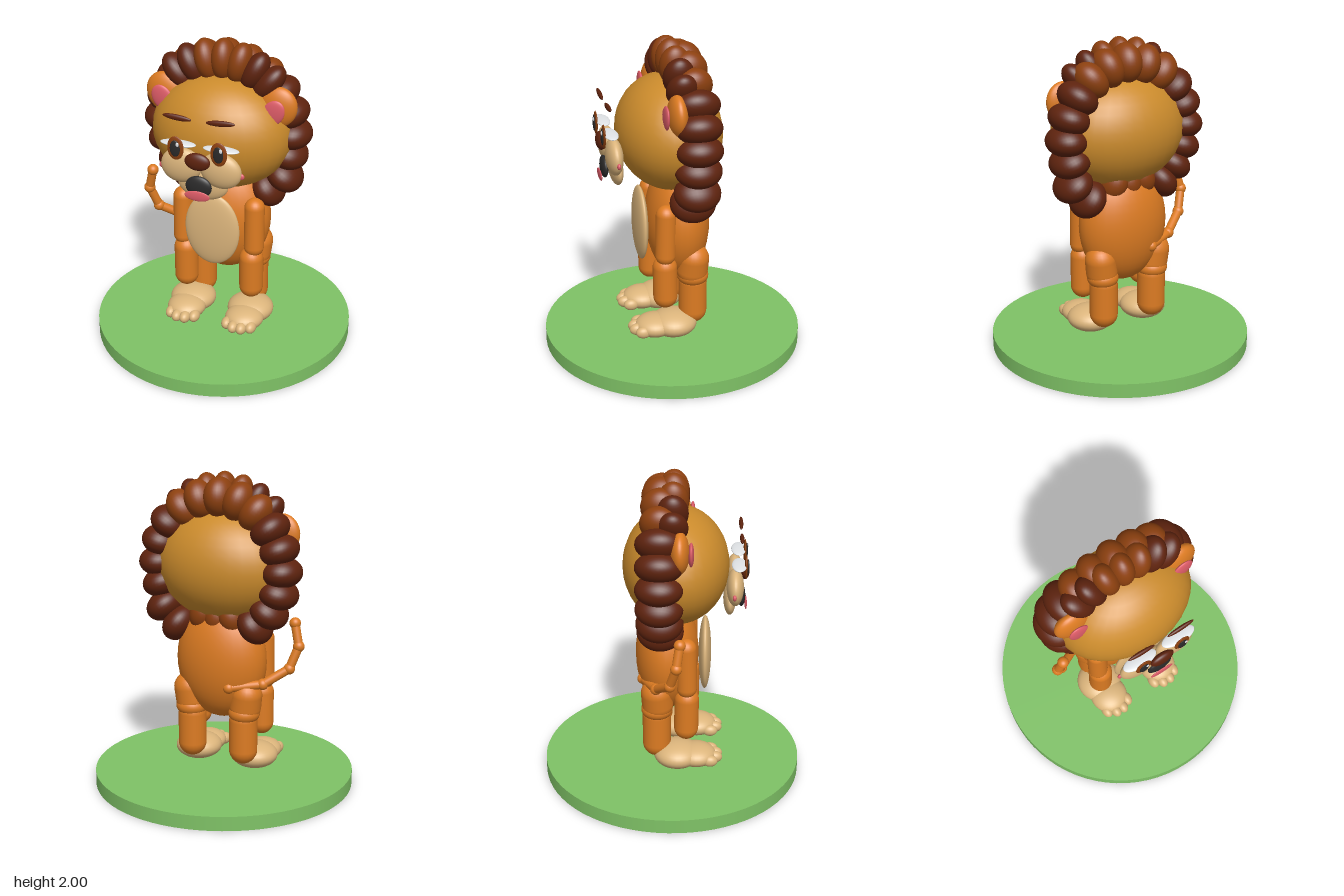
import * as THREE from 'three';

const paint = (name, color) => {
  const m = new THREE.MeshStandardMaterial({ color });
  m.name = name;
  return m;
};

export function createModel() {
  const fur = paint('orange fur', 0xdc7b22);
  const face = paint('golden fur', 0xcb8b2c);
  const tan = paint('tan', 0xdcb57c);
  const darkMane = paint('dark brown', 0x5e230e);
  const lightMane = paint('chestnut', 0x8c400f);
  const pink = paint('pink', 0xde5c68);
  const black = paint('black', 0x2b2a2a);
  const white = paint('white', 0xe8ebee);
  const green = paint('grass green', 0x7fc266);

  const model = new THREE.Group();
  model.name = 'lion';
  const sphere = new THREE.SphereGeometry(1, 32, 20);

  const add = (name, geometry, material, parent = model) => {
    const mesh = new THREE.Mesh(geometry, material);
    mesh.name = name;
    parent.add(mesh);
    return mesh;
  };
  // Ellipsoid from centre, radii and roll about z
  const ball = (name, material, pos, radii, roll = 0, parent = model) => {
    const mesh = add(name, sphere, material, parent);
    mesh.position.set(...pos);
    mesh.scale.set(...radii);
    mesh.rotation.z = roll;
    return mesh;
  };
  // Round-ended limb between two joint centres
  const limb = (name, material, from, to, r, parent = model) => {
    const a = new THREE.Vector3(...from), b = new THREE.Vector3(...to);
    const mesh = add(name, new THREE.CapsuleGeometry(r, a.distanceTo(b), 8, 24), material, parent);
    mesh.position.copy(a).lerp(b, 0.5);
    mesh.quaternion.setFromUnitVectors(new THREE.Vector3(0, 1, 0), b.sub(a).normalize());
    return mesh;
  };

  // Stand
  add('stand', new THREE.CylinderGeometry(0.83, 0.83, 0.09, 72), green).position.y = 0.045;

  // Torso and head
  ball('body', fur, [0, 0.82, -0.03], [0.3, 0.38, 0.2]);
  ball('belly', tan, [0, 0.815, 0.21], [0.18, 0.245, 0.04]);
  ball('head', face, [0, 1.418, 0.025], [0.445, 0.358, 0.33]);

  // Mane: ring of overlapping locks, shorter where it crosses the back
  const mane = new THREE.Group();
  mane.name = 'mane';
  model.add(mane);
  const locks = 20;
  for (let i = 0; i < locks; i++) {
    const a = (i / locks) * Math.PI * 2;
    const s = Math.sin(a), c = Math.cos(a);
    const atBottom = c < -0.9, atTop = c > 0.8;
    const long = c < -0.5 && !atBottom ? (s > 0 ? 0.05 : 0) : 0;
    const reach = (atBottom ? 0.32 : 0.43) + long;
    ball('maneLock', atBottom || atTop ? lightMane : darkMane,
      [s * (reach - 0.01), 1.42 + c * reach, -0.065],
      [0.095, 0.125, atBottom || atTop ? 0.12 : 0.145], -a, mane);
  }
  // Tufts leaning over the forehead
  for (let i = -3; i <= 3; i++) {
    const a = i * 0.24;
    ball('foreheadTuft', Math.abs(i) < 2 ? lightMane : darkMane,
      [Math.sin(a) * 0.44, 1.42 + Math.cos(a) * 0.45, 0.01],
      [0.075, 0.13, 0.095], -a, mane);
  }

  // Nose, jaw and mouth
  ball('jaw', tan, [0, 1.2, 0.36], [0.16, 0.1, 0.04]);
  ball('nose', darkMane, [0, 1.385, 0.45], [0.08, 0.055, 0.03]);
  ball('mouth', black, [0, 1.215, 0.432], [0.083, 0.068, 0.025]);
  ball('tongue', pink, [0, 1.165, 0.46], [0.08, 0.033, 0.008]);

  for (const s of [-1, 1]) {
    // Ears
    ball('ear', fur, [s * 0.36, 1.628, 0.055], [0.122, 0.132, 0.058], -s * 0.4);
    ball('innerEar', pink, [s * 0.355, 1.615, 0.122], [0.066, 0.084, 0.018], -s * 0.5);

    // Muzzle and cheeks
    ball('muzzle', tan, [s * 0.125, 1.32, 0.39], [0.13, 0.112, 0.053], -s * 0.15);
    ball('cheek', pink, [s * 0.25, 1.3, 0.385], [0.02, 0.02, 0.012]);

    // Eyes and brows
    ball('eyeWhite', white, [s * 0.135, 1.468, 0.412], [0.112, 0.013, 0.046]);
    ball('iris', lightMane, [s * 0.135, 1.455, 0.453], [0.052, 0.075, 0.01]);
    ball('pupil', black, [s * 0.135, 1.455, 0.463], [0.032, 0.052, 0.008]);
    ball('eyeGlint', white, [s * 0.135 + 0.018, 1.485, 0.47], [0.01, 0.014, 0.004]);
    ball('eyebrow', darkMane, [s * 0.135, 1.638, 0.424], [0.09, 0.018, 0.013], s * 0.07);

    // Arms
    limb('upperArm', fur, [s * 0.238, 0.95, 0.095], [s * 0.238, 0.68, 0.1], 0.064);
    limb('forearm', fur, [s * 0.222, 0.59, 0.1], [s * 0.222, 0.39, 0.097], 0.077);

    // Legs
    limb('thigh', fur, [s * 0.2, 0.62, -0.09], [s * 0.19, 0.54, -0.085], 0.1);
    ball('knee', fur, [s * 0.185, 0.5, -0.09], [0.1, 0.07, 0.1]);
    limb('shin', fur, [s * 0.18, 0.45, -0.092], [s * 0.18, 0.255, -0.092], 0.09);

    // Feet with toes
    const foot = new THREE.Group();
    foot.name = 'foot';
    model.add(foot);
    ball('heel', tan, [s * 0.2, 0.185, 0.04], [0.15, 0.083, 0.15], 0, foot);
    ball('forefoot', tan, [s * 0.2, 0.18, 0.16], [0.125, 0.07, 0.13], 0, foot);
    [-0.08, -0.027, 0.027, 0.08].forEach((dx, i) =>
      ball('toe', tan, [s * 0.193 + dx, 0.17, i % 3 ? 0.28 : 0.25], [0.035, 0.038, 0.05], 0, foot));
  }

  // Jointed tail, curling up on the right
  const tail = new THREE.Group();
  tail.name = 'tail';
  model.add(tail);
  const joints = [[-0.12, 0.68, -0.18], [-0.31, 0.705, -0.09], [-0.45, 0.8, 0],
    [-0.495, 0.94, 0.04], [-0.46, 1.08, 0.06]];
  joints.forEach((p, i) => {
    ball('tailJoint', fur, p, [0.036, 0.036, 0.036], 0, tail);
    if (i) limb('tailSegment', fur, joints[i - 1], p, 0.028, tail);
  });

  return model;
}
